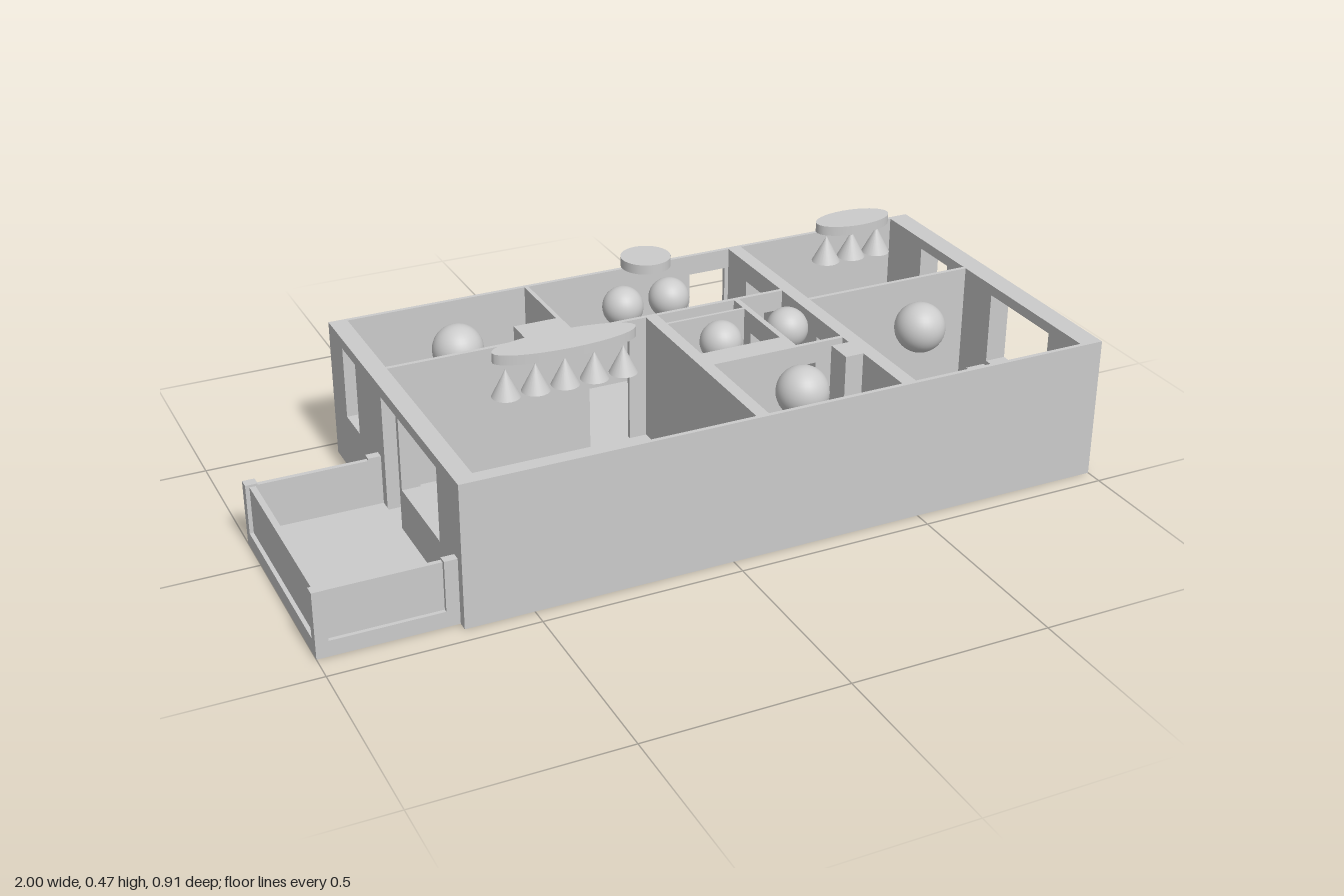
import * as THREE from 'three';

const H = 0.365, FLOOR = 0.035, DOOR = 0.312, SILL = 0.15, HEAD = 0.338;

export function createModel() {
  const root = new THREE.Group();
  const mat = new THREE.MeshStandardMaterial({ color: 0xcccccc });

  const add = (name, geo, x = 0, y = 0, z = 0) => {
    const m = new THREE.Mesh(geo, mat);
    m.name = name;
    m.position.set(x, y, z);
    root.add(m);
    return m;
  };
  // box given by its extents
  const block = (name, x0, x1, y0, y1, z0, z1) =>
    add(name, new THREE.BoxGeometry(x1 - x0, y1 - y0, z1 - z0), (x0 + x1) / 2, (y0 + y1) / 2, (z0 + z1) / 2);

  // upright slab with rectangular openings [start, end, bottom, top]
  const slab = (u0, u1, thick, openings) => {
    const s = new THREE.Shape([[u0, 0], [u1, 0], [u1, H], [u0, H]].map(p => new THREE.Vector2(...p)));
    for (const [a, b, c, d] of openings)
      s.holes.push(new THREE.Path([[a, c], [a, d], [b, d], [b, c]].map(p => new THREE.Vector2(...p))));
    return new THREE.ExtrudeGeometry(s, { depth: thick, bevelEnabled: false });
  };
  const wallX = (name, x0, x1, z0, z1, openings = []) =>
    add(name, slab(x0, x1, z1 - z0, openings), 0, 0, z0);
  const wallZ = (name, x0, x1, z0, z1, openings = []) =>
    add(name, slab(z0, z1, x1 - x0, openings).rotateY(-Math.PI / 2), x1, 0, 0);
  const door = (a, b) => [a, b, FLOOR, DOOR];
  const win = (a, b) => [a, b, SILL, HEAD];

  // floor
  block('floor', -0.668, 1, 0, FLOOR, -0.455, 0.455);

  // outer walls
  wallX('frontWall', -0.668, 1, 0.444, 0.455);
  wallX('backWall', -0.668, 1, -0.455, -0.444, [door(0.325, 0.43)]);
  wallZ('leftSideWall', 0.944, 1, -0.444, 0.444, [win(0.06, 0.315), win(-0.28, -0.15)]);
  wallZ('balconySideWall', -0.668, -0.622, -0.444, 0.444,
    [win(0.06, 0.315), [-0.06, 0.045, FLOOR, HEAD], win(-0.35, -0.25)]);

  // partitions running front to back
  wallZ('mainPartition', 0.441, 0.478, -0.444, 0.444, [door(-0.34, -0.237), door(0.04, 0.142)]);
  wallZ('livingPartition', 0.056, 0.088, -0.144, 0.444);
  wallZ('bedroomPartition', -0.148, -0.137, -0.444, -0.155, [door(-0.345, -0.242)]);
  wallZ('bathPartition', 0.302, 0.317, -0.144, 0.155, [door(-0.05, 0.055)]);

  // partitions running side to side
  wallX('hallPartition', -0.622, 0.441, -0.155, -0.144, [door(-0.1, 0.01), door(0.325, 0.43)]);
  wallX('roomDivider', 0.478, 0.944, -0.075, -0.064);
  wallX('kitchenPartition', 0.088, 0.441, 0.155, 0.166, [door(0.325, 0.43)]);
  wallX('bathFrontWall', 0.088, 0.302, 0.1, 0.155);
  wallX('nicheWall', 0.088, 0.302, -0.094, -0.086);

  // built-in shafts
  block('bedroomShaft', -0.262, -0.148, FLOOR, H, -0.236, -0.155);
  block('kitchenShaft', 0.393, 0.441, FLOOR, H, 0.195, 0.265);

  // radiators under the windows
  for (const [x, z0, z1] of [[-0.594, -0.37, -0.22], [-0.594, 0.055, 0.315], [0.913, -0.325, -0.123], [0.913, 0.055, 0.315]])
    block('radiator', x - 0.027, x + 0.027, 0.055, 0.14, z0, z1);

  // balcony with recessed parapet panels between posts
  const bz0 = -0.11, bz1 = 0.43;
  block('balconyFloor', -1, -0.668, 0, 0.04, bz0, bz1);
  for (const [z, s] of [[bz0, 1], [bz1, -1]]) {
    const span = (name, x0, x1, y1, a, b) =>
      block(name, x0, x1, 0.04, y1, Math.min(z + s * a, z + s * b), Math.max(z + s * a, z + s * b));
    span('balconyPost', -1, -0.97, 0.168, 0, 0.026);
    span('balconyPost', -0.7, -0.668, 0.168, 0, 0.022);
    span('balconySidePanel', -0.97, -0.7, 0.162, 0.01, 0.022);
  }
  block('balconyEndPanel', -0.99, -0.975, 0.04, 0.162, bz0 + 0.026, bz1 - 0.026);

  // round hanging lamps
  const globe = (x, y, z, r) => add('globeLamp', new THREE.SphereGeometry(r, 32, 20), x, y, z);
  for (const [x, z] of [[-0.385, -0.305], [0.277, 0.265], [0.722, 0.075]]) globe(x, 0.298, z, 0.065);
  for (const [x, z] of [[0.058, -0.287], [0.188, -0.287], [0.19, 0.005], [0.375, 0.005]]) globe(x, 0.336, z, 0.053);

  // oval ceiling plates of the chandeliers
  const plate = (x, top, z, rx, rz) => {
    const g = new THREE.CylinderGeometry(1, 1, 0.025, 32).scale(rx, 1, rz);
    add('lampPlate', g, x, top - 0.0125, z);
  };
  const coneRow = (n, x, step, apex, z, r) => {
    for (let i = 0; i < n; i++)
      add('coneShade', new THREE.ConeGeometry(r, 0.07, 24), x + (i - (n - 1) / 2) * step, apex - 0.035, z);
  };
  plate(-0.258, 0.465, 0.078, 0.182, 0.051);
  coneRow(5, -0.258, 0.075, 0.418, 0.078, 0.035);
  plate(0.725, 0.465, -0.285, 0.106, 0.053);
  coneRow(3, 0.725, 0.076, 0.426, -0.285, 0.037);
  plate(0.122, 0.465, -0.287, 0.064, 0.064);

  // lower oval lamp with a globe at each end
  plate(-0.382, 0.285, 0.375, 0.137, 0.037);
  for (const s of [-1, 1]) globe(-0.382 + s * 0.114, 0.225, 0.375, 0.031);

  return root;
}
